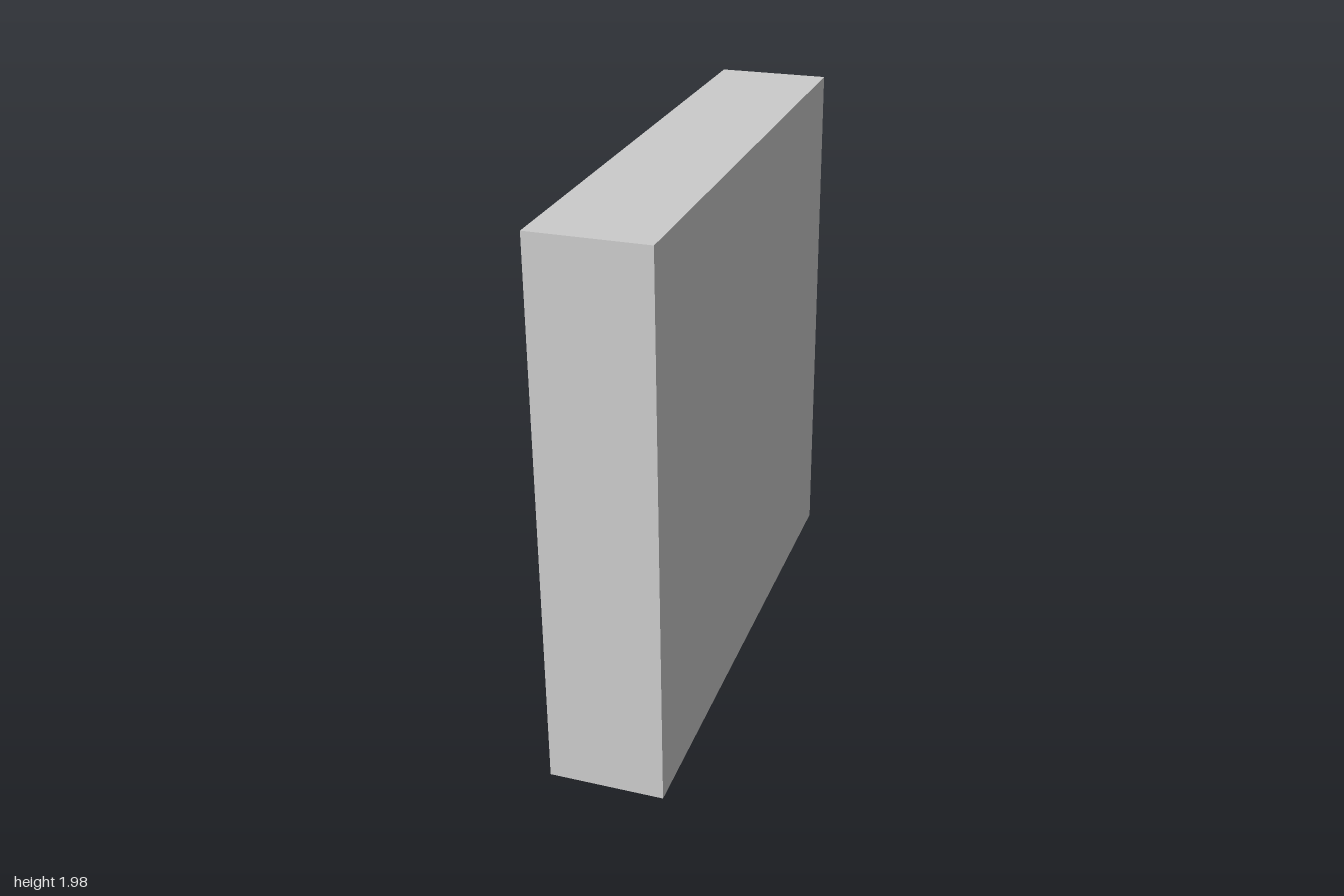
import * as THREE from 'three';

// Rectangular loop of corners at a given x
function loop(x, z0, z1, y0, y1) {
  return [[x, y0, z0], [x, y0, z1], [x, y1, z1], [x, y1, z0]];
}

// Skin consecutive loops with flat quads and close both ends
function loft(loops) {
  const pos = [];
  const quad = (a, b, c, d) => pos.push(...a, ...b, ...c, ...a, ...c, ...d);
  for (let k = 0; k < loops.length - 1; k++) {
    const a = loops[k], b = loops[k + 1];
    for (let i = 0; i < 4; i++) {
      const j = (i + 1) % 4;
      quad(a[i], a[j], b[j], b[i]);
    }
  }
  quad(...[...loops[0]].reverse());
  quad(...loops[loops.length - 1]);
  const geo = new THREE.BufferGeometry();
  geo.setAttribute('position', new THREE.Float32BufferAttribute(pos, 3));
  geo.computeVertexNormals();
  return geo;
}

export function createModel() {
  const group = new THREE.Group();
  group.name = 'shallowTray';

  const hx = 0.205, hy = 0.988, hz = 0.997;   // half sizes
  const rim = 0.106, rimBack = 0.08, rimFront = 0.135;
  const floorX = 0.08;                        // recess floor
  const hole = [-hz + rimBack, hz - rimFront, -hy + rim, hy - rim];

  // Upright tray: closed on +x, recessed on -x
  const tray = new THREE.Mesh(
    loft([
      loop(hx, -hz, hz, -hy, hy),
      loop(-hx, -hz, hz, -hy, hy),
      loop(-hx, ...hole),
      loop(floorX, ...hole),
    ]),
    new THREE.MeshStandardMaterial({ color: 0xcccccc, flatShading: true })
  );
  tray.name = 'recessedPanel';

  // Slight lean and turn
  tray.rotation.set(0, 0.0145, 0.0037);
  tray.position.y = 0.989;
  group.add(tray);
  return group;
}
